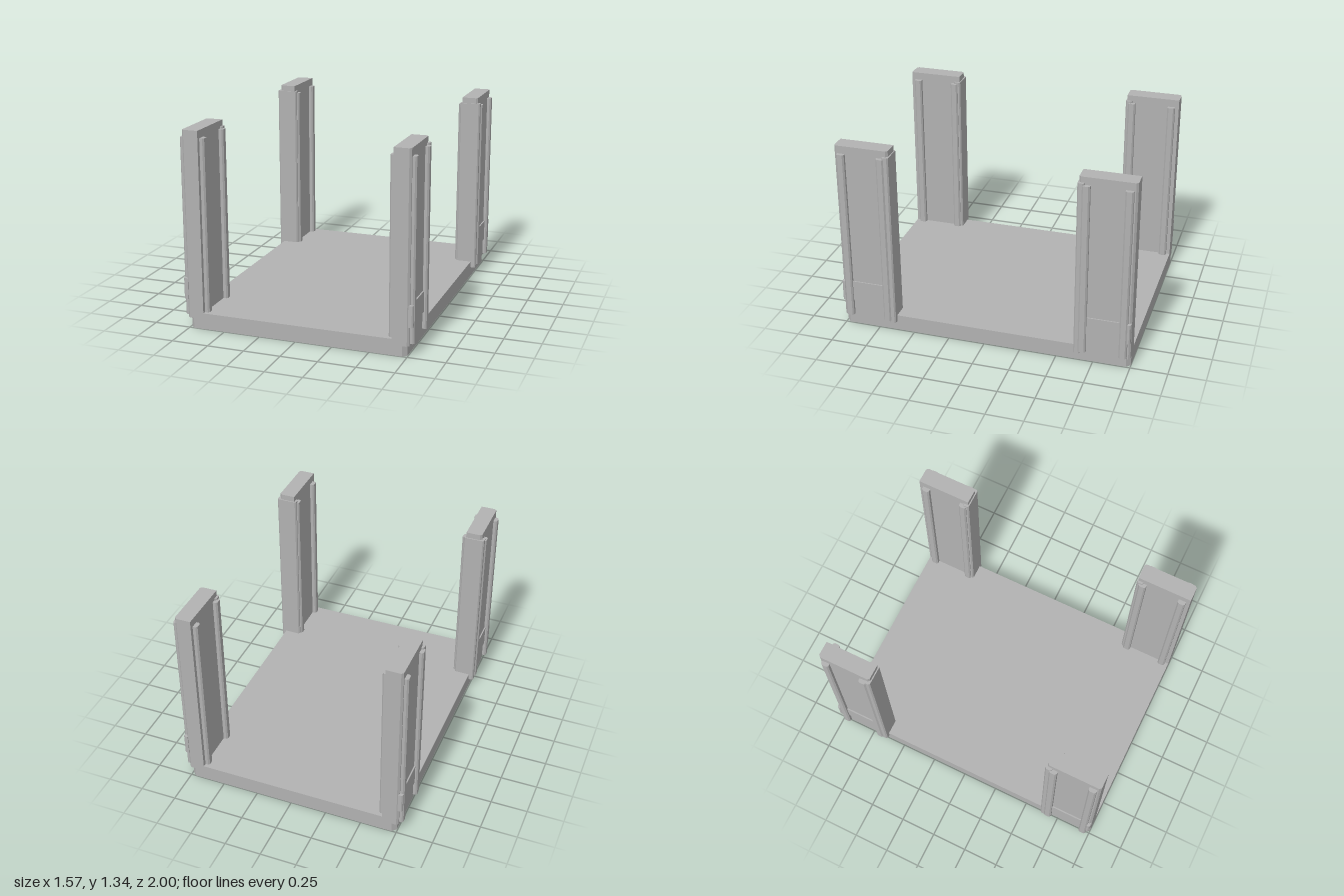
import * as THREE from 'three';

const grey = new THREE.MeshStandardMaterial({ color: 0xb2b2b2 });
grey.name = 'plain grey';

// Upright prism from a plan outline of [x, z] points, mirrored by sx and sz
function prism(name, points, y0, y1, sx = 1, sz = 1) {
  const shape = new THREE.Shape(points.map(([x, z]) => new THREE.Vector2(x * sx, -z * sz)));
  const geometry = new THREE.ExtrudeGeometry(shape, { depth: y1 - y0, bevelEnabled: false });
  geometry.rotateX(-Math.PI / 2).translate(0, y0, 0);
  const mesh = new THREE.Mesh(geometry, grey);
  mesh.name = name;
  return mesh;
}

// Rectangle whose corners are cut: c for the low-x side, d for the high-x side
function cutRect(x0, x1, z0, z1, c, d = c) {
  const pts = [];
  if (c) pts.push([x0, z1 - c], [x0, z0 + c], [x0 + c, z0]);
  else pts.push([x0, z1], [x0, z0]);
  if (d) pts.push([x1 - d, z0], [x1, z0 + d], [x1, z1 - d], [x1 - d, z1]);
  else pts.push([x1, z0], [x1, z1]);
  if (c) pts.push([x0 + c, z1]);
  return pts;
}

function createPost(sx, sz) {
  const post = new THREE.Group();
  post.name = 'cornerPost';
  const add = (name, pts, y0, y1) => post.add(prism(name, pts, y0, y1, sx, sz));

  // main slab, cut along its outer edges
  add('postSlab', cutRect(0.648, 0.76, 0.63, 1, 0, 0.013), 0.07, 1.335);

  // channel wrapped around the inner end
  add('endChannel', cutRect(0.633, 0.778, 0.622, 0.667, 0.009), 0.066, 1.295);

  // vertical strips on the outer and inner faces
  for (const [z0, z1] of [[0.652, 0.705], [0.925, 0.978]])
    add('outerStrip', cutRect(0.755, 0.787, z0, z1, 0, 0.01), 0.083, 1.282);
  for (const [z0, z1] of [[0.64, 0.692], [0.922, 0.974]])
    add('innerStrip', cutRect(0.618, 0.655, z0, z1, 0.01, 0), 0.1, 1.282);

  // low clasp plate with a tab at the outer corner
  add('claspPlate', cutRect(0.75, 0.769, 0.66, 0.98, 0), 0.197, 0.34);
  add('claspTab', cutRect(0.753, 0.784, 0.97, 0.998, 0, 0.008), 0.197, 0.34);
  return post;
}

export function createModel() {
  const model = new THREE.Group();
  model.name = 'platformWithPosts';
  model.add(prism('base', cutRect(-0.745, 0.745, -1, 1, 0.028), 0, 0.11));
  for (const sx of [-1, 1]) for (const sz of [-1, 1]) model.add(createPost(sx, sz));
  return model;
}
